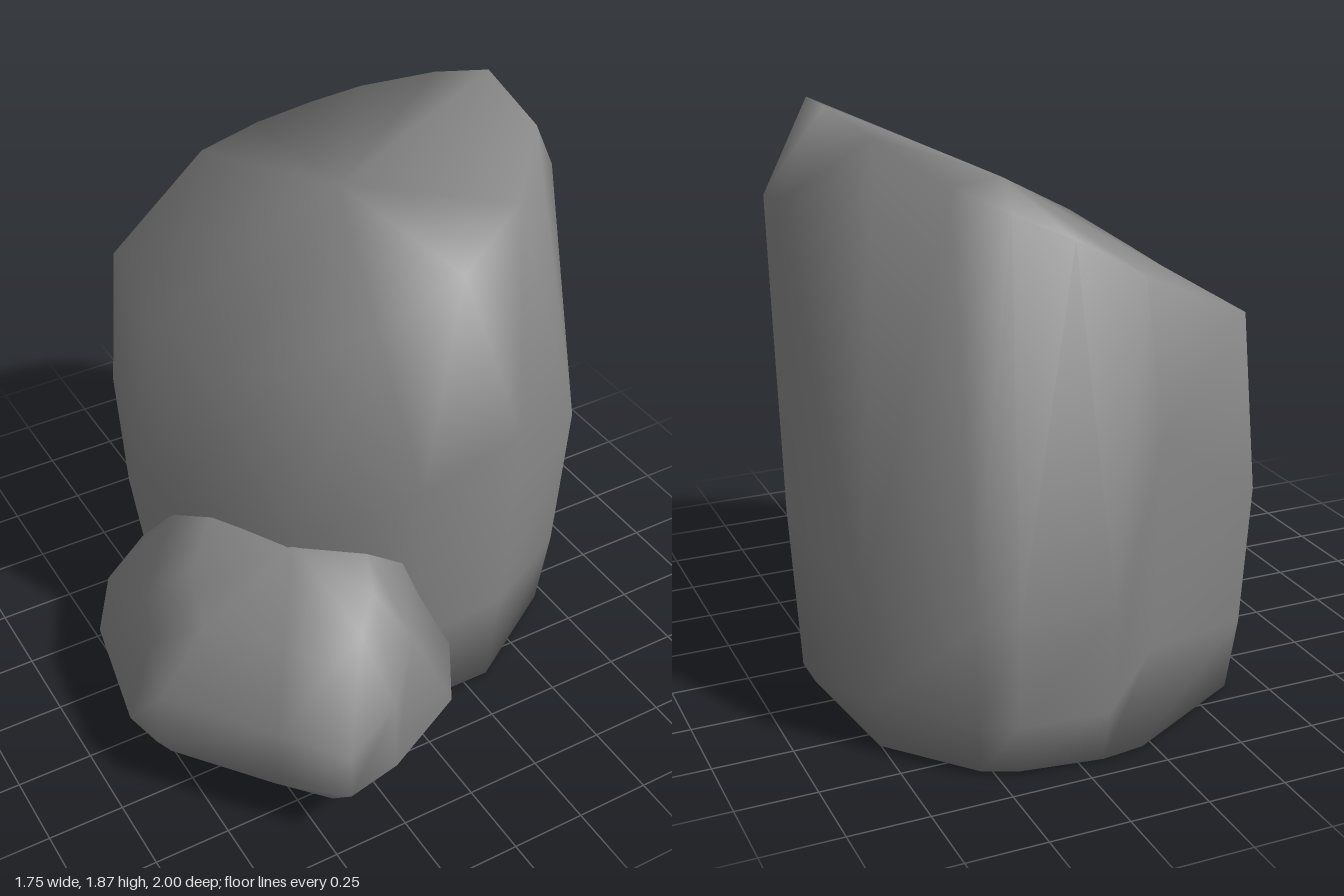
import * as THREE from 'three';

// Smooth closed skin over a stack of rings, capped by a point at each end
function loft(rings, bottom, top) {
  const n = rings[0].length;
  const pos = [...rings.flat(), bottom, top].flat();
  const lo = rings.length * n, hi = lo + 1, last = (rings.length - 1) * n;
  const index = [];
  for (let j = 0; j < n; j++) {
    const k = (j + 1) % n;
    for (let r = 0; r < rings.length - 1; r++) {
      const a = r * n + j, b = r * n + k;
      index.push(a, a + n, b, b, a + n, b + n);
    }
    index.push(lo, j, k, hi, last + k, last + j);
  }
  const geo = new THREE.BufferGeometry();
  geo.setAttribute('position', new THREE.Float32BufferAttribute(pos, 3));
  geo.setIndex(index);
  geo.computeVertexNormals();
  return geo;
}

const mix = (p, q, t) => p.map((v, i) => v + (q[i] - v) * t);

// Stone from its widest girth and its top rim; the foot is the girth shrunk about `sole`,
// and an optional crown ring rounds the top
function stone(name, { girth, rim, top, sole, base, flank, rise }) {
  const foot = girth.map(p => mix(sole, [p[0], sole[1], p[2]], base));
  const side = girth.map((p, i) => {
    const [x, , z] = mix(foot[i], p, flank);
    return [x, p[1] * 0.35, z];
  });
  const rings = [foot, side, girth, rim];
  if (rise) {
    rings.push(rim.map(p => {
      const [x, , z] = mix(p, top, 0.33);
      return [x, p[1] + (top[1] - p[1]) * rise, z];
    }));
  }
  const mesh = new THREE.Mesh(
    loft(rings, [sole[0], 0, sole[2]], top),
    new THREE.MeshStandardMaterial({ color: 0x858585 }));
  mesh.name = name;
  return mesh;
}

export function createModel() {
  const group = new THREE.Group();
  group.name = 'rocks';

  // Tall boulder with a slanting top
  group.add(stone('largeBoulder', {
    girth: [
      [0.87, 1.58, 0.02], [0.75, 0.85, 0.4], [0.35, 1.08, 0.65], [0, 1, 0.65],
      [-0.35, 0.75, 0.43], [-0.53, 0.66, 0], [-0.53, 0.66, -0.33], [-0.42, 0.7, -0.73],
      [0.03, 1.0, -0.98], [0.18, 0.52, -1], [0.46, 0.5, -0.96], [0.57, 0.5, -0.91],
      [0.81, 0.5, -0.63], [0.87, 1.59, -0.12],
    ],
    rim: [
      [0.68, 1.84, 0.17], [0.5, 1.71, 0.36], [0.22, 1.61, 0.48], [-0.05, 1.48, 0.45],
      [-0.29, 1.36, 0.33], [-0.43, 1.26, 0.15], [-0.47, 1.21, -0.27], [-0.4, 1.25, -0.68],
      [0.02, 1.45, -0.84], [0.2, 1.55, -0.76], [0.36, 1.62, -0.68], [0.5, 1.69, -0.58],
      [0.65, 1.8, -0.36], [0.73, 1.87, -0.17],
    ],
    top: [0.17, 1.61, -0.16], sole: [0.17, 0.01, -0.16], base: 0.92, flank: 0.55,
  }));

  // Low stone growing out of its front corner; both ends run into the boulder
  group.add(stone('smallBoulder', {
    girth: [
      [0.17, 0.25, 0.59], [0, 0.3, 0.86], [-0.27, 0.25, 0.97], [-0.45, 0.24, 1],
      [-0.6, 0.24, 0.83], [-0.86, 0.22, 0.49], [-0.88, 0.19, 0.33], [-0.81, 0.22, -0.06],
      [-0.69, 0.25, -0.25], [-0.4, 0.3, -0.42], [-0.3, 0.3, -0.1], [0, 0.3, 0.2],
    ],
    rim: [
      [-0.04, 0.7, 0.61], [-0.1, 0.55, 0.77], [-0.25, 0.46, 0.92], [-0.45, 0.4, 0.995],
      [-0.6, 0.42, 0.82], [-0.83, 0.39, 0.48], [-0.78, 0.45, 0.3], [-0.73, 0.52, 0.17],
      [-0.55, 0.65, 0], [-0.38, 0.66, -0.06], [-0.3, 0.7, 0], [-0.1, 0.72, 0.3],
    ],
    top: [-0.33, 0.77, 0.43], sole: [-0.35, 0.01, 0.05], base: 0.76, flank: 0.4, rise: 0.57,
  }));

  return group;
}
